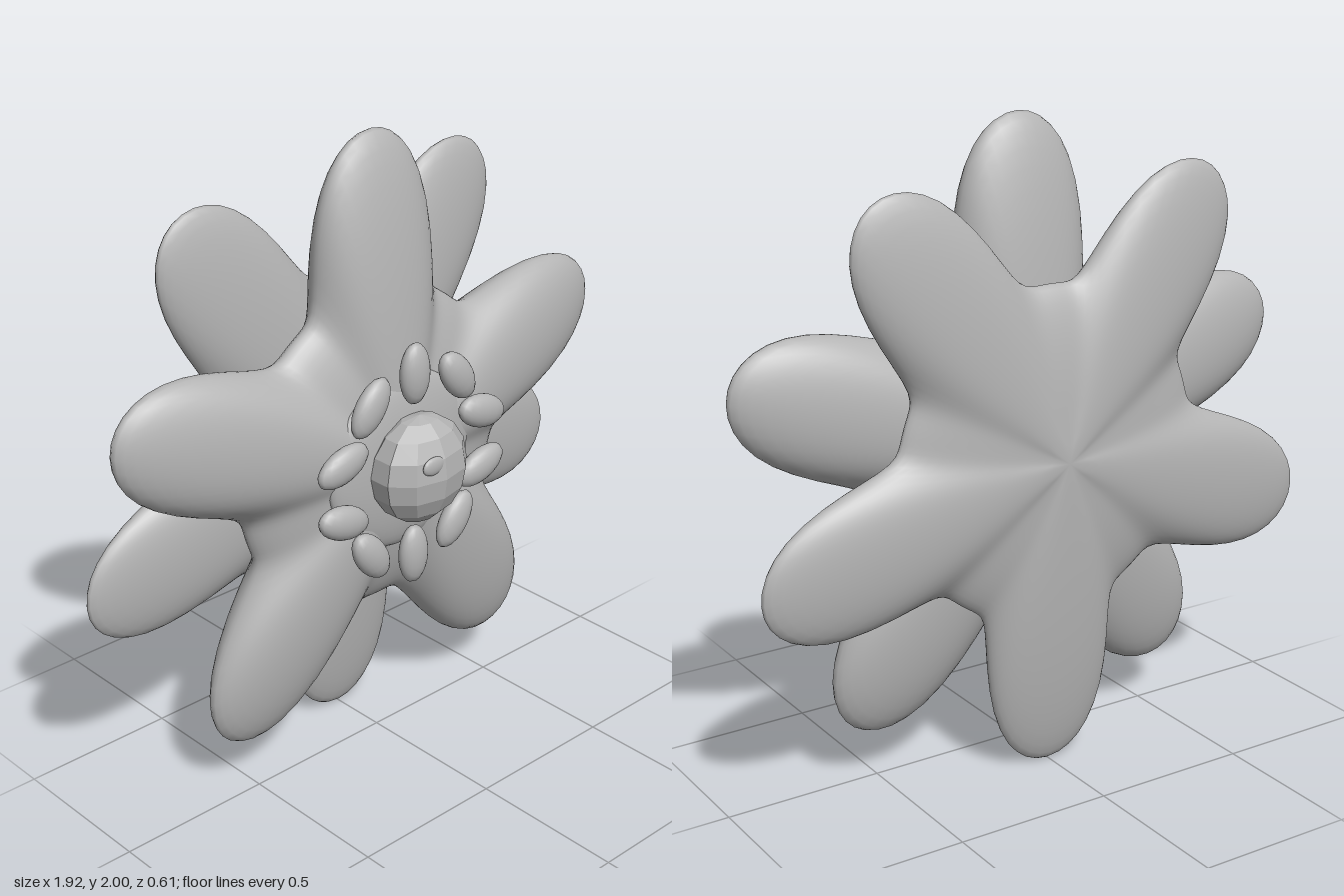
import * as THREE from 'three';
import { mergeVertices } from 'three/addons/utils/BufferGeometryUtils.js';

const CENTRE_Y = 1;

// Puffy five-petal star: a flattened sphere whose rim follows a petal curve, with hollows between petals
function petalLayerGeometry(depth, tipAngle) {
  const geo = new THREE.SphereGeometry(1, 160, 28).rotateX(Math.PI / 2);
  geo.deleteAttribute('uv');
  geo.deleteAttribute('normal');
  const pos = geo.attributes.position;
  for (let i = 0; i < pos.count; i++) {
    const x = pos.getX(i), y = pos.getY(i), z = pos.getZ(i);
    const u = Math.min(1, Math.hypot(x, y));
    const angle = Math.atan2(y, x);
    const lobe = (1 + Math.cos(5 * (angle - tipAngle))) / 2;
    const rim = 0.52 + 0.48 * Math.pow(lobe, 1 + 1.3 * Math.pow(1 - lobe, 1.5));
    const hollow = 1 - 0.06 * (1 - lobe) * Math.min(1, 4 * u);
    const thick = depth * hollow * Math.pow(1 - Math.pow(u, 1.7), 0.56);
    pos.setXYZ(i, u * rim * Math.cos(angle), u * rim * Math.sin(angle), Math.sign(z) * thick);
  }
  const merged = mergeVertices(geo, 1e-5);
  merged.computeVertexNormals();
  return merged;
}

export function createModel() {
  const flower = new THREE.Group();
  flower.name = 'flower';

  const grey = new THREE.MeshStandardMaterial({ color: 0xb4b4b4 });
  grey.name = 'grey';
  const facetedGrey = grey.clone();
  facetedGrey.name = 'facetedGrey';
  facetedGrey.flatShading = true;

  const add = (name, geometry, x, y, z, material = grey) => {
    const mesh = new THREE.Mesh(geometry, material);
    mesh.name = name;
    mesh.position.set(x, CENTRE_Y + y, z);
    flower.add(mesh);
    return mesh;
  };

  // Two petal layers, the rear one turned half a petal
  add('frontPetals', petalLayerGeometry(0.167, Math.PI / 2), 0, 0, -0.025);
  add('backPetals', petalLayerGeometry(0.113, -Math.PI / 2), 0, 0, -0.195);

  // Low dome under the stamens
  add('centreDisc', new THREE.SphereGeometry(1, 40, 20), 0, 0, 0.1).scale.set(0.285, 0.285, 0.06);

  // Ring of ten seed-shaped stamens, tilted in mirrored fashion around the ring
  const stamenGeo = new THREE.SphereGeometry(1, 16, 12);
  for (let i = 0; i < 10; i++) {
    const a = Math.PI / 2 + (i * Math.PI) / 5;
    const stamen = add('stamen', stamenGeo, 0.3 * Math.cos(a), 0.3 * Math.sin(a), 0.165);
    stamen.scale.set(0.098, 0.054, 0.035);
    stamen.rotation.z = -a;
  }

  // Faceted, flattened centre button with a small raised spot
  const buttonGeo = new THREE.SphereGeometry(0.172, 10, 8).rotateY(Math.PI / 10);
  add('button', buttonGeo, 0, 0.003, 0.187, facetedGrey).scale.z = 0.69;
  add('buttonSpot', new THREE.SphereGeometry(1, 16, 10), -0.04, 0.055, 0.289).scale.set(0.043, 0.029, 0.012);

  return flower;
}
